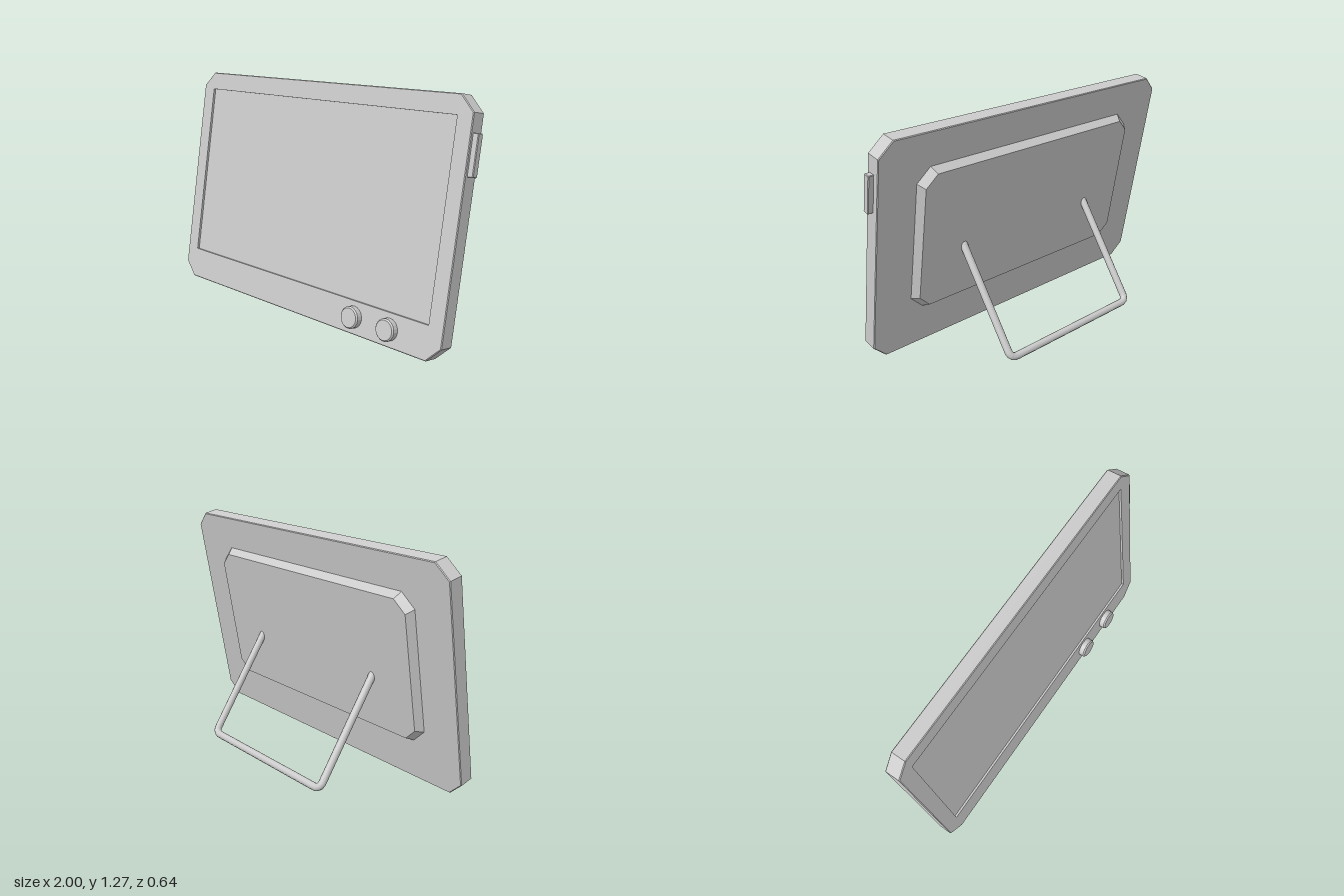
import * as THREE from 'three';

const TILT = THREE.MathUtils.degToRad(10);
const CX = -0.015; // centre line of the casing

// Rectangle with cut corners, anticlockwise as seen from the front
function outline({ w, y0, y1, c, z, x = CX }) {
  const l = x - w, r = x + w;
  return [
    [l + c, y0], [r - c, y0], [r, y0 + c], [r, y1 - c],
    [r - c, y1], [l + c, y1], [l, y1 - c], [l, y0 + c],
  ].map(([px, py]) => new THREE.Vector3(px, py, z));
}

// Skins a row of outlines from back to front and closes both ends
function loft(sections) {
  const rings = sections.map(outline);
  const pos = [];
  const tri = (...pts) => pts.forEach((p) => pos.push(p.x, p.y, p.z));
  const cap = (ring, front) => {
    const mid = ring.reduce((s, p) => s.add(p), new THREE.Vector3()).divideScalar(ring.length);
    ring.forEach((p, i) => {
      const q = ring[(i + 1) % ring.length];
      front ? tri(mid, p, q) : tri(mid, q, p);
    });
  };
  cap(rings[0], false);
  for (let k = 0; k < rings.length - 1; k++) {
    const a = rings[k], b = rings[k + 1];
    a.forEach((p, i) => {
      const j = (i + 1) % a.length;
      tri(p, a[j], b[j]);
      tri(p, b[j], b[i]);
    });
  }
  cap(rings[rings.length - 1], true);
  const geo = new THREE.BufferGeometry();
  geo.setAttribute('position', new THREE.Float32BufferAttribute(pos, 3));
  geo.computeVertexNormals();
  return geo;
}

export function createModel() {
  const model = new THREE.Group();
  model.name = 'tabletDisplay';
  const flat = new THREE.MeshStandardMaterial({ color: 0xcccccc, flatShading: true });
  const smooth = new THREE.MeshStandardMaterial({ color: 0xcccccc });

  const add = (parent, name, geo, mat = flat) => {
    const mesh = new THREE.Mesh(geo, mat);
    mesh.name = name;
    parent.add(mesh);
    return mesh;
  };

  // Everything on the casing leans back; origin is the lower front edge
  const body = new THREE.Group();
  body.name = 'leaningBody';
  body.position.set(0, 0.016, 0.29);
  body.rotation.x = -TILT;
  model.add(body);

  // Casing: outer shell, front bezel and recessed screen well
  const e = 0.004;
  const outer = { w: 0.985, y0: 0, y1: 1.275, c: 0.08 };
  const inset = { w: 0.985 - e, y0: e, y1: 1.275 - e, c: 0.08 - e / 2 };
  const well = { w: 0.897, y0: 0.175, y1: 1.175, c: 0.001 };
  add(body, 'casing', loft([
    { ...inset, z: -0.087 },
    { ...outer, z: -0.087 + e },
    { ...outer, z: -e },
    { ...inset, z: 0 },
    { ...well, z: 0 },
    { ...well, z: -0.013 },
  ]));

  // Screen lying in the well
  const screen = add(body, 'screen', new THREE.BoxGeometry(1.792, 0.998, 0.01));
  screen.position.set(CX, 0.675, -0.017);

  // Raised rear panel with sloping edges
  add(body, 'rearPanel', loft([
    { w: 0.735, y0: 0.267, y1: 1.059, c: 0.068, z: -0.129 },
    { w: 0.763, y0: 0.239, y1: 1.087, c: 0.078, z: -0.085 },
  ]));

  // Pair of front knobs with bevelled rims
  const knobProfile = [[0.058, -0.005], [0.058, 0.03], [0.051, 0.038], [0, 0.038]]
    .map(([r, h]) => new THREE.Vector2(r, h));
  for (const x of [0.415, 0.65]) {
    const knob = add(body, 'knob', new THREE.LatheGeometry(knobProfile, 20).rotateX(Math.PI / 2));
    knob.position.set(x, 0.09, 0);
  }

  // Side button, lofted outwards along +x
  const button = add(body, 'sideButton', loft([
    { x: 0, w: 0.0185, y0: -0.103, y1: 0.103, c: 0.003, z: -0.01 },
    { x: 0, w: 0.0185, y0: -0.103, y1: 0.103, c: 0.003, z: 0.026 },
    { x: 0, w: 0.0155, y0: -0.1, y1: 0.1, c: 0.003, z: 0.03 },
  ]));
  button.rotation.y = Math.PI / 2;
  button.position.set(0.97, 1.0, -0.036);

  // Folding wire stand: two legs joined by a foot bar
  const top = new THREE.Vector3(0, 0.572, 0.075);
  const foot = new THREE.Vector3(0, 0.023, -0.303);
  const bend = foot.clone().lerp(top, 0.06);
  const half = 0.46, r = 0.045;
  const at = (p, x) => new THREE.Vector3(CX + x, p.y, p.z);
  const path = new THREE.CurvePath();
  path.add(new THREE.LineCurve3(at(top, -half), at(bend, -half)));
  path.add(new THREE.QuadraticBezierCurve3(at(bend, -half), at(foot, -half), at(foot, -half + r)));
  path.add(new THREE.LineCurve3(at(foot, -half + r), at(foot, half - r)));
  path.add(new THREE.QuadraticBezierCurve3(at(foot, half - r), at(foot, half), at(bend, half)));
  path.add(new THREE.LineCurve3(at(bend, half), at(top, half)));
  add(model, 'wireStand', new THREE.TubeGeometry(path, 140, 0.021, 10, false), smooth);

  return model;
}
